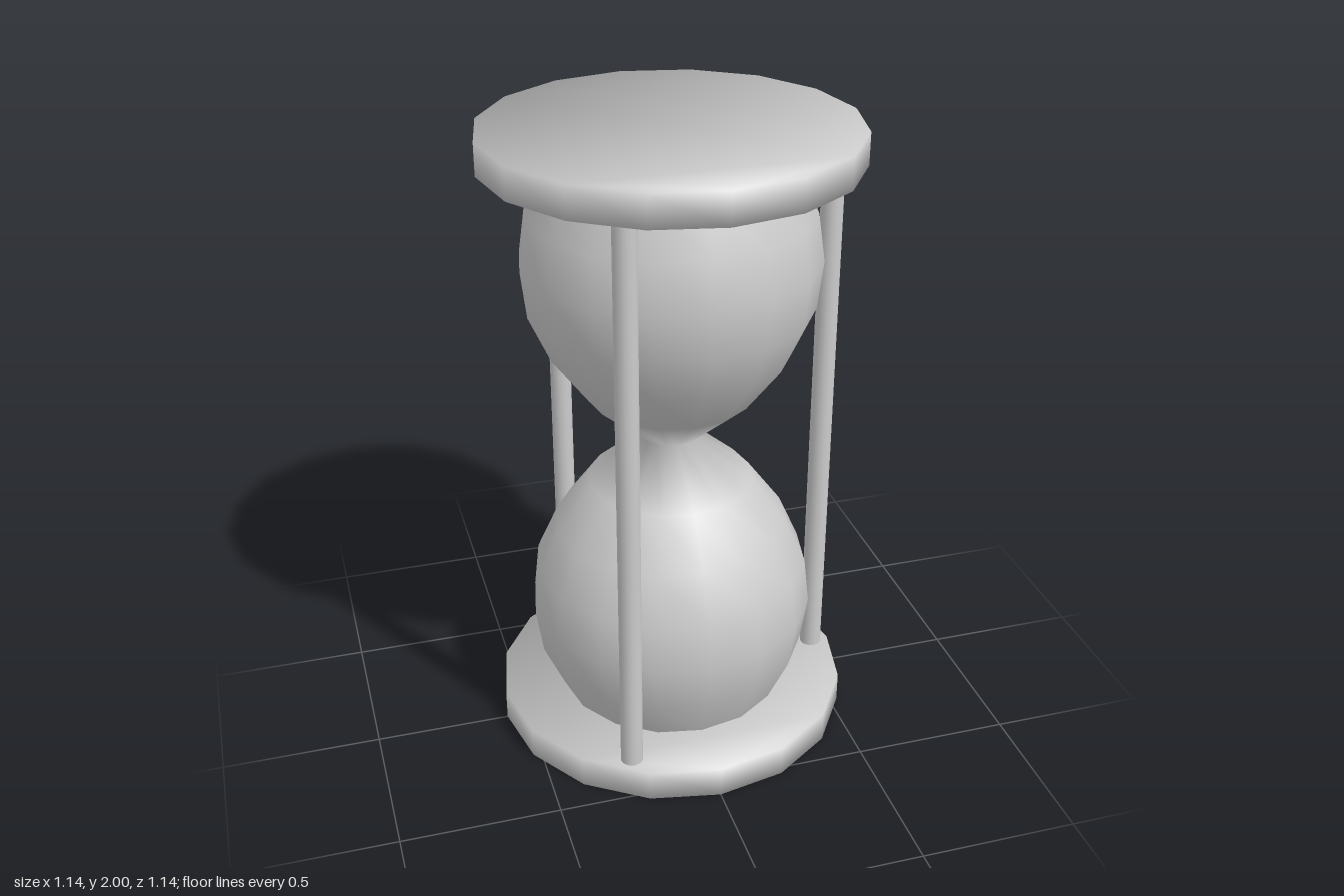
import * as THREE from 'three';
import { mergeVertices } from 'three/addons/utils/BufferGeometryUtils.js';

const SIDES = 16;
const PLATE_RADIUS = 0.57;
const PLATE_HEIGHT = 0.1;

// Sixteen-sided disc with rim normals shared between cap and side for a soft edge
function plateGeometry() {
  const outline = [];
  for (let i = 0; i < SIDES; i++) {
    const a = (i / SIDES) * Math.PI * 2;
    outline.push(new THREE.Vector2(Math.cos(a), Math.sin(a)).multiplyScalar(PLATE_RADIUS));
  }
  let geo = new THREE.ExtrudeGeometry(new THREE.Shape(outline), { depth: PLATE_HEIGHT, bevelEnabled: false });
  geo.rotateX(-Math.PI / 2);
  geo.deleteAttribute('normal');
  geo.deleteAttribute('uv');
  geo = mergeVertices(geo);
  geo.computeVertexNormals();
  const p = geo.attributes.position;
  const n = new THREE.Vector3();
  for (let i = 0; i < p.count; i++) {
    n.set(p.getX(i) / PLATE_RADIUS, p.getY(i) > PLATE_HEIGHT / 2 ? 0.9 : -0.9, p.getZ(i) / PLATE_RADIUS).normalize();
    geo.attributes.normal.setXYZ(i, n.x, n.y, n.z);
  }
  return geo;
}

export function createModel() {
  const group = new THREE.Group();
  const material = new THREE.MeshStandardMaterial({ color: 0xcccccc });
  const glassMaterial = new THREE.MeshStandardMaterial({ color: 0xcccccc, side: THREE.DoubleSide });

  const add = (name, geometry, x, y, z, mat = material) => {
    const mesh = new THREE.Mesh(geometry, mat);
    mesh.name = name;
    mesh.position.set(x, y, z);
    group.add(mesh);
  };

  // Base and top plates
  const plate = plateGeometry();
  add('basePlate', plate, 0, 0, 0);
  add('topPlate', plate, 0, 2 - PLATE_HEIGHT, 0);

  // Glass: one half profile from plate to neck, mirrored about the neck at y = 1
  const radii = [0.368, 0.435, 0.457, 0.44, 0.373, 0.262, 0.09];
  const lower = radii.map((r, i) => new THREE.Vector2(r, 0.1 + i * 0.15));
  const upper = lower.slice(0, -1).reverse().map((v) => new THREE.Vector2(v.x, 2 - v.y));
  add('glassBulbs', new THREE.LatheGeometry([...lower, ...upper], SIDES), 0, 0, 0, glassMaterial);

  // Three rods, evenly spaced around the glass
  const rod = new THREE.CylinderGeometry(0.035, 0.035, 1.8, SIDES);
  for (let i = 0; i < 3; i++) {
    const a = (i / 3) * Math.PI * 2;
    add(`rod${i + 1}`, rod, 0.508 * Math.cos(a), 1, 0.508 * Math.sin(a));
  }

  return group;
}
